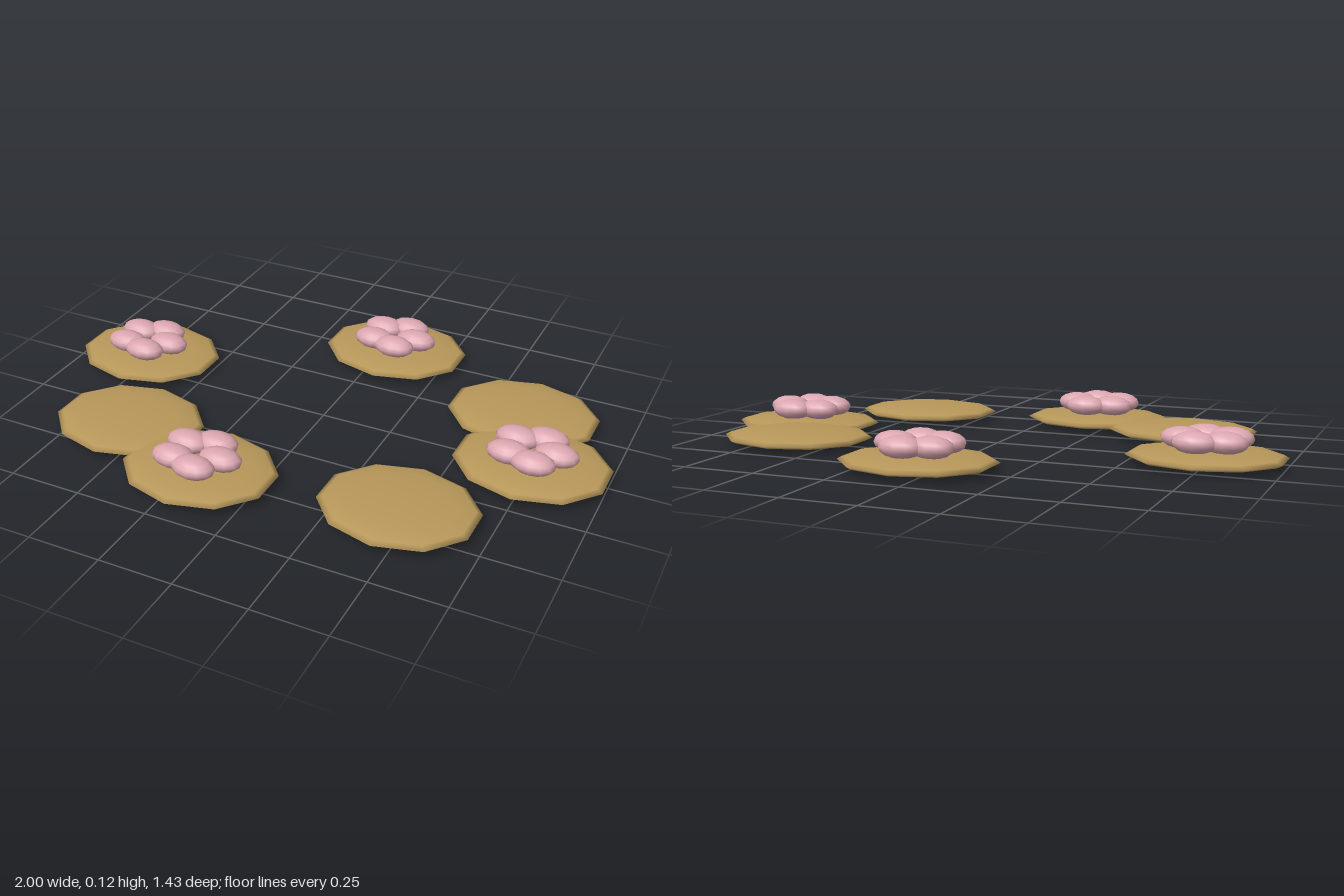
import * as THREE from 'three';

export function createModel() {
  const group = new THREE.Group();
  const padMaterial = new THREE.MeshStandardMaterial({ color: 0xb8985a });
  padMaterial.name = 'olive tan';
  const petalMaterial = new THREE.MeshStandardMaterial({ color: 0xdba6b0 });
  petalMaterial.name = 'soft pink';

  // Flattened ten-sided pad with a corner facing front and back
  const padGeometry = new THREE.SphereGeometry(1, 10, 8);
  padGeometry.rotateY(Math.PI / 2);
  padGeometry.scale(0.263, 0.0265, 0.2185);

  // Petals all lie along x
  const petalGeometry = new THREE.SphereGeometry(1, 12, 8);
  petalGeometry.scale(0.075, 0.036, 0.05);

  // Five overlapping petals in a ring
  function createFlower() {
    const flower = new THREE.Group();
    flower.name = 'flower';
    for (let i = 0; i < 5; i++) {
      const angle = (i * Math.PI * 2) / 5;
      const petal = new THREE.Mesh(petalGeometry, petalMaterial);
      petal.name = 'petal';
      petal.position.set(Math.cos(angle) * 0.08, 0, Math.sin(angle) * 0.08);
      flower.add(petal);
    }
    return flower;
  }

  // Pad centres: x, z, has a flower
  const pads = [
    [0.06, -0.498, true],
    [-0.75, -0.083, true],
    [-0.203, 0.492, true],
    [0.75, 0.007, true],
    [0.63, -0.268, false],
    [-0.563, 0.347, false],
    [0.452, 0.407, false],
  ];
  for (const [x, z, hasFlower] of pads) {
    const lily = new THREE.Group();
    lily.name = hasFlower ? 'floweringLily' : 'plainLily';
    lily.position.set(x, 0, z);
    const pad = new THREE.Mesh(padGeometry, padMaterial);
    pad.name = 'lilyPad';
    pad.position.y = 0.0265;
    lily.add(pad);
    if (hasFlower) {
      const flower = createFlower();
      flower.position.set(-0.003, 0.081, 0);
      lily.add(flower);
    }
    group.add(lily);
  }
  return group;
}
